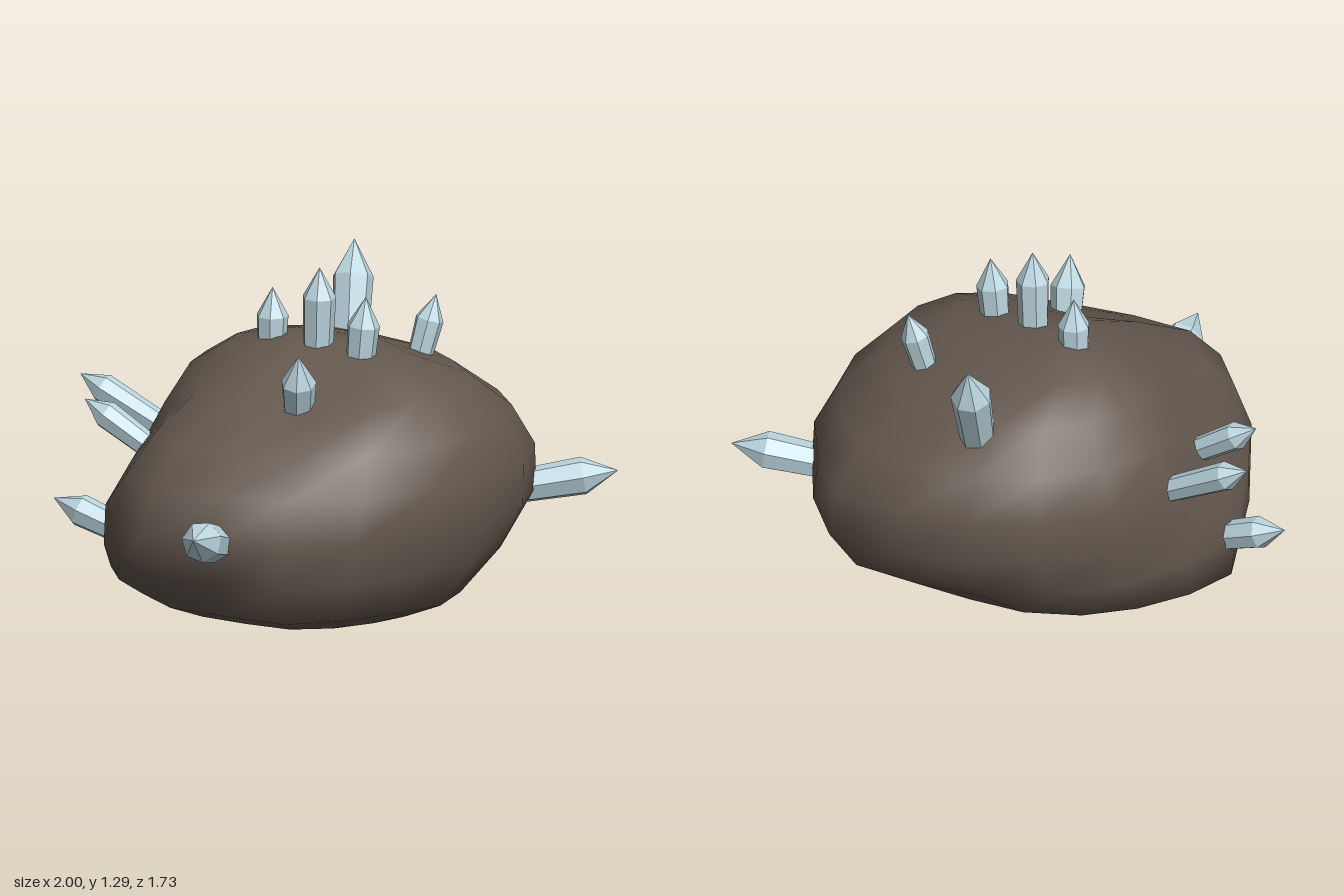
import * as THREE from 'three';

const SIDES = 18;

// Lumps and dents in the rock: centre, offset, reach
const LUMPS = [
  [[-0.5, 0.08, 0.55], [-0.06, 0, 0.06], 0.25],    // blunt low corner, front right
  [[-0.33, 0.08, -0.48], [-0.04, -0.01, -0.06], 0.22], // low corner, back right
  [[0.2, 0.08, 0.72], [0.01, -0.01, 0.03], 0.2],   // low front lip
  [[0.5, 0.08, 0.45], [-0.05, 0.02, -0.05], 0.25], // undercut, front left
  [[-0.28, 0.92, 0.38], [0.03, -0.06, -0.03], 0.25], // dent under front crystal
  [[-0.42, 0.65, -0.4], [0.08, -0.02, 0.1], 0.23], // dent under back crystals
  [[0.55, 0.85, -0.25], [0.04, 0.03, -0.05], 0.25], // shoulder under large crystal
].map(([c, o, reach]) => [new THREE.Vector3(...c), new THREE.Vector3(...o), reach]);

// Boulder: stacked cross-sections [y, xMin, xMax, zMin, zMax], capped at both ends
function boulderGeometry() {
  const rings = [
    [0.01, -0.25, 0.25, -0.2, 0.3],
    [0.035, -0.5, 0.43, -0.42, 0.61],
    [0.1, -0.67, 0.62, -0.56, 0.75],
    [0.25, -0.82, 0.89, -0.6, 0.83],
    [0.41, -0.87, 1.0, -0.605, 0.875],
    [0.58, -0.8, 0.97, -0.61, 0.88],
    [0.73, -0.66, 0.86, -0.54, 0.81],
    [0.87, -0.42, 0.64, -0.43, 0.69],
    [0.96, -0.2, 0.37, -0.28, 0.5],
    [1.0, -0.02, 0.18, -0.12, 0.22],
  ];
  const positions = [], index = [];
  const point = new THREE.Vector3(), moved = new THREE.Vector3();
  for (const [y, x0, x1, z0, z1] of rings) {
    for (let i = 0; i < SIDES; i++) {
      const a = (i / SIDES) * Math.PI * 2;
      // slightly pointed at both ends
      const pinch = i % (SIDES / 2) === 0 ? 1 : 0.94;
      point.set(
        (x0 + x1) / 2 + Math.cos(a) * pinch * (x1 - x0) / 2,
        y,
        (z0 + z1) / 2 + Math.sin(a) * (z1 - z0) / 2);
      moved.copy(point);
      for (const [centre, offset, reach] of LUMPS) {
        moved.addScaledVector(offset, Math.exp(-point.distanceToSquared(centre) / reach ** 2));
      }
      positions.push(moved.x, Math.max(moved.y, 0.005), moved.z);
    }
  }
  for (let r = 0; r < rings.length - 1; r++) {
    for (let i = 0; i < SIDES; i++) {
      const a = r * SIDES + i, b = r * SIDES + (i + 1) % SIDES;
      index.push(a, a + SIDES, b, b, a + SIDES, b + SIDES);
    }
  }
  const bottom = positions.length / 3, top = bottom + 1;
  positions.push(0.03, 0, 0.05, 0.08, 1.01, 0.03);
  const last = (rings.length - 1) * SIDES;
  for (let i = 0; i < SIDES; i++) {
    const j = (i + 1) % SIDES;
    index.push(bottom, i, j, top, last + j, last + i);
  }
  const geometry = new THREE.BufferGeometry();
  geometry.setAttribute('position', new THREE.Float32BufferAttribute(positions, 3));
  geometry.setIndex(index);
  geometry.computeVertexNormals();
  return geometry;
}

// Faceted crystal from base to tip, its root sunk into the rock
function crystalGeometry(length, radius, root) {
  const profile = [
    [0, -root],
    [radius * 0.85, -root],
    [radius, length - radius * 1.8],
    [0, length],
  ].map(([r, y]) => new THREE.Vector2(r, y));
  const geometry = new THREE.LatheGeometry(profile, 7).toNonIndexed();
  geometry.computeVertexNormals();
  return geometry;
}

export function createModel() {
  const model = new THREE.Group();
  model.name = 'crystalBoulder';

  const stone = new THREE.MeshStandardMaterial({ color: 0x64584e });
  stone.name = 'brownStone';
  const crystal = new THREE.MeshStandardMaterial({ color: 0xbbd5de });
  crystal.name = 'paleBlueCrystal';

  const boulder = new THREE.Mesh(boulderGeometry(), stone);
  boulder.name = 'boulder';
  model.add(boulder);

  // name, base, tip, radius
  const crystals = [
    ['topTallCrystal', [0.055, 0.95, 0.14], [0.05, 1.29, 0.155], 0.064],
    ['topBackCrystal', [0.02, 0.95, -0.07], [0.02, 1.18, -0.065], 0.061],
    ['topFrontCrystal', [0.1, 0.95, 0.32], [0.11, 1.2, 0.34], 0.062],
    ['frontRightCrystal', [-0.25, 0.86, 0.35], [-0.3, 1.055, 0.4], 0.067],
    ['topLeftCrystal', [0.47, 0.9, 0.26], [0.53, 1.125, 0.285], 0.054],
    ['largeLeftCrystal', [0.575, 0.86, -0.22], [0.69, 1.2, -0.315], 0.078],
    ['backCrystal', [-0.06, 0.56, -0.55], [-0.2, 0.74, -0.865], 0.056],
    ['backLowerCrystal', [-0.35, 0.23, -0.47], [-0.47, 0.335, -0.73], 0.062],
    ['backUpperCrystal', [-0.31, 0.56, -0.37], [-0.425, 0.73, -0.61], 0.054],
    ['rightSideCrystal', [-0.7, 0.4, 0.37], [-1.0, 0.5, 0.555], 0.078],
    ['leftSideCrystal', [0.69, 0.41, 0.57], [0.955, 0.47, 0.82], 0.073],
  ];
  const up = new THREE.Vector3(0, 1, 0);
  for (const [name, from, to, radius] of crystals) {
    const base = new THREE.Vector3(...from);
    const axis = new THREE.Vector3(...to).sub(base);
    const mesh = new THREE.Mesh(crystalGeometry(axis.length(), radius, 0.06), crystal);
    mesh.name = name;
    mesh.position.copy(base);
    mesh.quaternion.setFromUnitVectors(up, axis.normalize());
    model.add(mesh);
  }
  return model;
}
